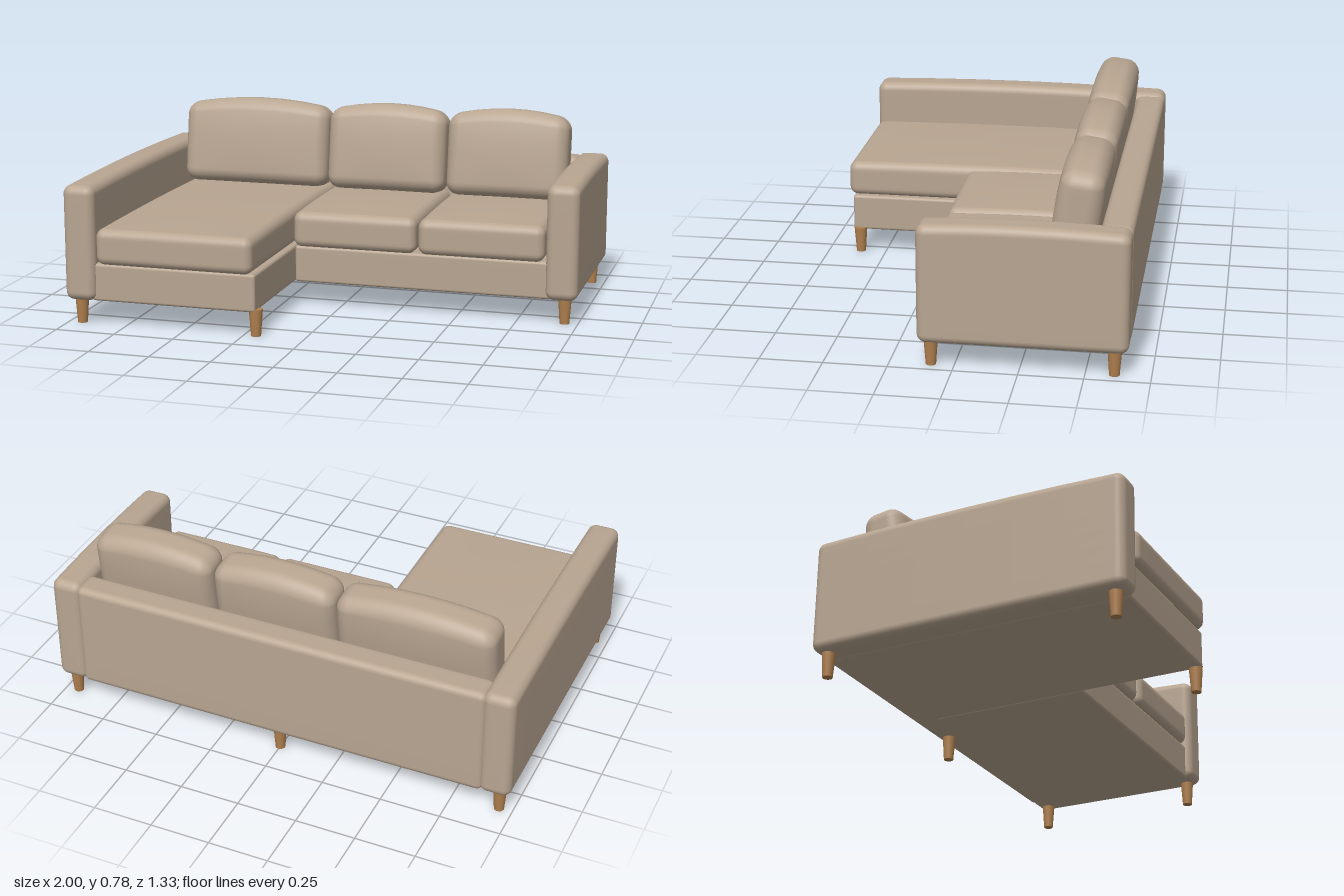
import * as THREE from 'three';
import { mergeVertices } from 'three/addons/utils/BufferGeometryUtils.js';

const fabric = new THREE.MeshStandardMaterial({ color: 0xb8a591 });
const wood = new THREE.MeshStandardMaterial({ color: 0xb0804f });

const CORNER = 4, FLAT = 6, SEG = CORNER * 2 + FLAT;

// Grid coordinate along one axis: fine steps in the rounded edge, wide steps between
function gridCoord(unit, half, r) {
  const i = Math.round((unit + 0.5) * SEG);
  const inner = half - r;
  if (i < CORNER) return -inner - r * Math.tan(((CORNER - i) / CORNER) * Math.PI / 4);
  if (i > SEG - CORNER) return inner + r * Math.tan(((i - SEG + CORNER) / CORNER) * Math.PI / 4);
  return -inner + (2 * inner * (i - CORNER)) / FLAT;
}

// Rounded upholstered block given as [min, max] per axis; puff swells the faces
function softBox(name, xr, yr, zr, r, puff = null) {
  const half = [xr, yr, zr].map(([a, b]) => (b - a) / 2);
  let geo = new THREE.BoxGeometry(1, 1, 1, SEG, SEG, SEG);
  geo.deleteAttribute('uv');
  geo.deleteAttribute('normal');
  const pos = geo.attributes.position;
  const p = new THREE.Vector3(), core = new THREE.Vector3();
  const lim = new THREE.Vector3(...half).subScalar(r);
  for (let i = 0; i < pos.count; i++) {
    p.set(gridCoord(pos.getX(i), half[0], r), gridCoord(pos.getY(i), half[1], r), gridCoord(pos.getZ(i), half[2], r));
    core.copy(p).clamp(lim.clone().negate(), lim);
    p.sub(core).setLength(r).add(core);
    if (puff) puff(p, p.x / half[0], p.y / half[1], p.z / half[2]);
    pos.setXYZ(i, p.x, p.y, p.z);
  }
  geo = mergeVertices(geo, 1e-5);
  geo.computeVertexNormals();
  const mesh = new THREE.Mesh(geo, fabric);
  mesh.name = name;
  mesh.position.set((xr[0] + xr[1]) / 2, (yr[0] + yr[1]) / 2, (zr[0] + zr[1]) / 2);
  return mesh;
}

const dome = (u) => Math.max(0, 1 - u * u);

export function createModel() {
  const sofa = new THREE.Group();
  sofa.name = 'sectionalSofa';

  // Base under the chaise and under the two seats
  sofa.add(softBox('chaiseBase', [-0.89, -0.195], [0.1, 0.255], [-0.6, 0.64], 0.012));
  sofa.add(softBox('seatBase', [-0.195, 0.89], [0.1, 0.255], [-0.6, 0.115], 0.012));

  // Arms with slightly crowned tops, the chaise arm being longer
  const crownArm = (p, u, v, w) => { if (v > 0) p.y += 0.012 * v * dome(w); };
  sofa.add(softBox('chaiseArm', [-1, -0.868], [0.1, 0.572], [-0.665, 0.665], 0.035, crownArm));
  sofa.add(softBox('shortArm', [0.868, 1], [0.1, 0.572], [-0.665, 0.14], 0.035, crownArm));

  // Back panel between the arms
  sofa.add(softBox('backPanel', [-0.885, 0.885], [0.1, 0.565], [-0.665, -0.54], 0.028));

  // One seat cushion and one leaning back cushion per place
  const places = [
    { x: [-0.865, -0.205], front: 0.66 },
    { x: [-0.2, 0.325], front: 0.133 },
    { x: [0.335, 0.86], front: 0.133 },
  ];
  const seatPuff = (p, u, v, w) => { p.y += 0.014 * v * dome(w) * (v > 0 ? 1 : 0) * (0.4 + 0.6 * dome(u)); };
  const backPuff = (p, u, v, w) => {
    if (v > 0) p.y += v * (0.035 * dome(u) - 0.022);
    p.z += 0.012 * w * dome(u) * dome(v);
    p.z *= 1 - 0.12 * Math.max(0, v) ** 3;
  };
  places.forEach(({ x, front }, i) => {
    sofa.add(softBox(`seatCushion${i + 1}`, x, [0.252, 0.4], [-0.54, front], 0.035, seatPuff));
    const back = softBox(`backCushion${i + 1}`, x, [0.4, 0.768], [-0.535, -0.362], 0.055, backPuff);
    back.rotation.x = -0.14;
    sofa.add(back);
  });

  // Tapered wooden legs
  const legGeo = new THREE.CylinderGeometry(0.028, 0.02, 0.11, 20);
  const spots = [[-0.945, 0.61], [-0.2, 0.61], [0.945, 0.09], [-0.945, -0.61], [0, -0.61], [0.945, -0.61]];
  spots.forEach(([x, z], i) => {
    const leg = new THREE.Mesh(legGeo, wood);
    leg.name = `leg${i + 1}`;
    leg.position.set(x, 0.055, z);
    sofa.add(leg);
  });

  return sofa;
}
